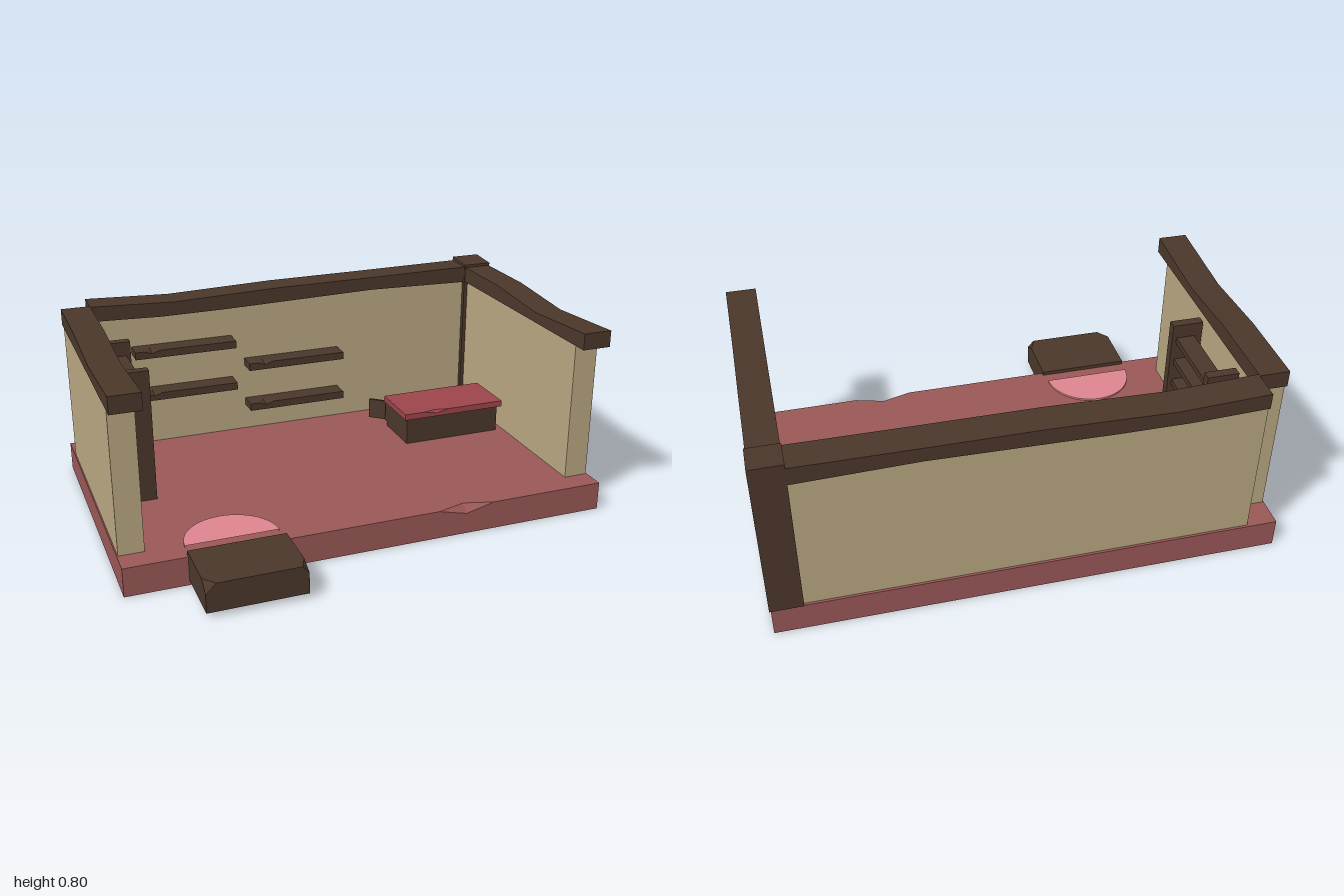
import * as THREE from 'three';
import { ConvexGeometry } from 'three/addons/geometries/ConvexGeometry.js';

const material = (color, side = THREE.FrontSide) =>
  new THREE.MeshStandardMaterial({ color, flatShading: true, side });
const WOOD = material(0x4b372a);
const PLASTER = material(0xb9a781);
const STONE = material(0x9a5857);
const RED = material(0x9c454b);
const PINK = material(0xdd8590);

export function createModel() {
  const model = new THREE.Group();

  function add(name, geometry, mat, parent = model) {
    const mesh = new THREE.Mesh(geometry, mat);
    mesh.name = name;
    parent.add(mesh);
    return mesh;
  }

  // Box given by its extents on each axis
  function box(name, [x0, x1], [y0, y1], [z0, z1], mat, parent) {
    const g = new THREE.BoxGeometry(x1 - x0, y1 - y0, z1 - z0);
    g.translate((x0 + x1) / 2, (y0 + y1) / 2, (z0 + z1) / 2);
    return add(name, g, mat, parent);
  }

  // Slab with one chip knocked out of its top front edge
  function chippedSlab(name, [x0, x1], [y0, y1], [z0, z1], chip, mat, parent) {
    const { x, half, down, back } = chip;
    const L = [x - half, y1, z1], R = [x + half, y1, z1];
    const T = [x, y1, z1 - back], F = [x, y1 - down, z1];
    const p = (i, j, k) => [i ? x1 : x0, j ? y1 : y0, k ? z1 : z0];
    const faces = [
      [T, R, p(1, 1, 1), p(1, 1, 0), p(0, 1, 0), p(0, 1, 1), L],
      [F, L, p(0, 1, 1), p(0, 0, 1), p(1, 0, 1), p(1, 1, 1), R],
      [T, L, F], [T, F, R],
      [p(0, 0, 0), p(1, 0, 0), p(1, 0, 1), p(0, 0, 1)],
      [p(1, 0, 0), p(0, 0, 0), p(0, 1, 0), p(1, 1, 0)],
      [p(1, 0, 1), p(1, 0, 0), p(1, 1, 0), p(1, 1, 1)],
      [p(0, 0, 0), p(0, 0, 1), p(0, 1, 1), p(0, 1, 0)],
    ];
    const pos = [];
    for (const f of faces)
      for (let i = 1; i < f.length - 1; i++) pos.push(...f[0], ...f[i], ...f[i + 1]);
    const g = new THREE.BufferGeometry();
    g.setAttribute('position', new THREE.Float32BufferAttribute(pos, 3));
    g.computeVertexNormals();
    return add(name, g, mat, parent);
  }

  // Worn beam: side profile extruded across its width
  function beam(name, outline, width) {
    const shape = new THREE.Shape(outline.map(([a, b]) => new THREE.Vector2(a, b)));
    return add(name, new THREE.ExtrudeGeometry(shape, { depth: width, bevelEnabled: false }), WOOD);
  }

  // Floor
  chippedSlab('floor', [-1, 0.99], [0, 0.118], [-0.71, 0.472],
    { x: 0.38, half: 0.12, down: 0.03, back: 0.035 }, STONE);

  // Walls
  box('backWall', [-0.88, 0.88], [0.118, 0.715], [-0.7, -0.605], PLASTER);
  box('rightWall', [-0.995, -0.895], [0.118, 0.712], [-0.59, 0.375], PLASTER);
  box('leftWall', [0.885, 0.985], [0.118, 0.712], [-0.59, 0.375], PLASTER);

  // Beams along the wall tops
  beam('backBeam', [[-0.88, 0.71], [-0.58, 0.7], [-0.3, 0.702], [0.4, 0.718], [0.88, 0.707],
    [0.88, 0.78], [0.4, 0.776], [-0.05, 0.774], [-0.52, 0.76], [-0.88, 0.775]], 0.127)
    .position.z = -0.714;
  for (const [name, x] of [['rightBeam', -0.88], ['leftBeam', 0.992]]) {
    // Profile runs along z after a quarter turn
    const b = beam(name, [[-0.452, 0.708], [0.6, 0.708], [0.6, 0.776], [0.27, 0.776],
      [-0.07, 0.751], [-0.452, 0.776]], 0.12);
    b.rotation.y = Math.PI / 2;
    b.position.x = x - 0.12;
  }

  // Corner post with a slightly sloping top
  const post = box('cornerPost', [0.868, 0.996], [0.118, 0.797], [-0.714, -0.585], WOOD);
  const pp = post.geometry.attributes.position;
  for (let i = 0; i < pp.count; i++)
    if (pp.getY(i) > 0.5 && pp.getZ(i) > -0.65) pp.setY(i, 0.788);

  // Open bookcase against the right wall
  const bookcase = new THREE.Group();
  bookcase.name = 'bookcase';
  model.add(bookcase);
  for (const z of [-0.435, -0.07])
    box('bookcaseSide', [-0.885, -0.757], [0.118, 0.67], [z, z + 0.038], WOOD, bookcase);
  for (let i = 0; i < 5; i++) {
    const y = 0.165 + i * 0.105;
    box('bookcaseShelf', [-0.852, -0.775], [y, y + 0.025], [-0.4, -0.07], WOOD, bookcase);
  }

  // Shelves on the back wall
  for (const [x, y] of [[-0.716, 0.54], [-0.716, 0.345], [-0.212, 0.425], [-0.212, 0.233]])
    chippedSlab('wallShelf', [x, x + 0.446], [y, y + 0.033], [-0.61, -0.52],
      { x: x + 0.072, half: 0.035, down: 0.012, back: 0.05 }, WOOD);

  // Counter with an open door at the back
  const counter = new THREE.Group();
  counter.name = 'counter';
  model.add(counter);
  box('counterBase', [0.405, 0.85], [0.118, 0.24], [-0.402, -0.175], WOOD, counter);
  chippedSlab('counterTop', [0.39, 0.865], [0.238, 0.265], [-0.402, -0.16],
    { x: 0.54, half: 0.06, down: 0.012, back: 0.012 }, RED, counter);
  box('doorHinge', [0.405, 0.445], [0.135, 0.225], [-0.422, -0.4], WOOD, counter);
  const door = add('counterDoor', new THREE.BoxGeometry(0.115, 0.09, 0.012), WOOD, counter);
  door.position.set(0.396, 0.18, -0.449);
  door.rotation.y = -0.72;

  // Half-round doormat
  const mat = add('doormat',
    new THREE.CylinderGeometry(0.185, 0.185, 0.012, 32, 1, false, Math.PI / 2, Math.PI), PINK);
  mat.material = material(0xdd8590, THREE.DoubleSide);
  mat.position.set(-0.565, 0.12, 0.4);

  // Entrance step with broken front corners
  const [x0, x1, y0, y1, z0, z1] = [-0.755, -0.37, 0.02, 0.135, 0.455, 0.714];
  const points = [
    [x0, y0, z0], [x1, y0, z0], [x0, y1, z0], [x1, y1, z0], [x0, y0, z1], [x1, y0, z1],
    [x0 + 0.04, y1, z1], [x0, y1 - 0.04, z1], [x0, y1, z1 - 0.05],
    [x1 - 0.025, y1, z1], [x1, y1 - 0.03, z1], [x1, y1, z1 - 0.06],
  ].map((p) => new THREE.Vector3(...p));
  add('step', new ConvexGeometry(points), WOOD);

  return model;
}
